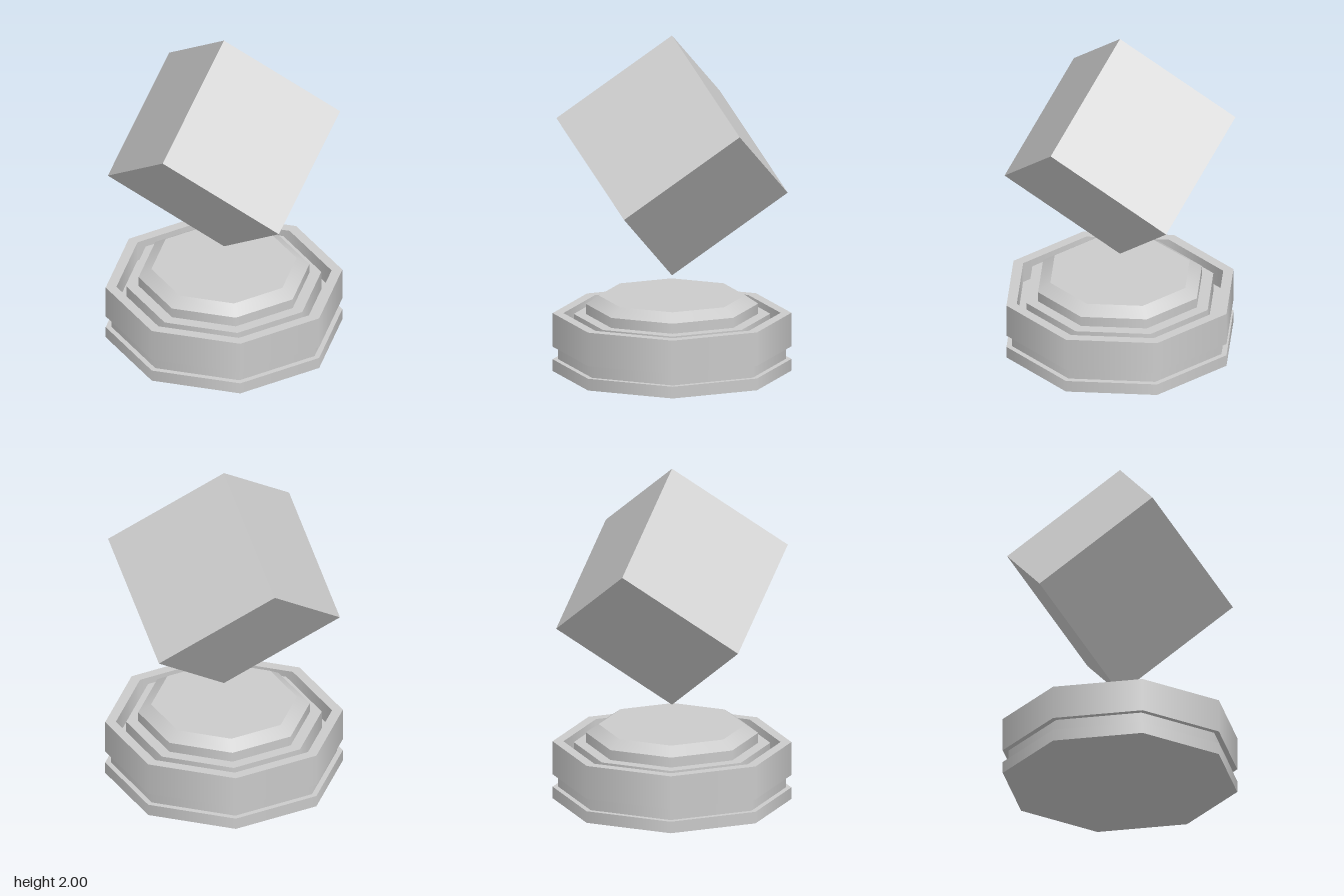
import * as THREE from 'three';
import { mergeGeometries } from 'three/addons/utils/BufferGeometryUtils.js';

const material = new THREE.MeshStandardMaterial({ color: 0xcccccc });
const SIDES = 8;
const START = THREE.MathUtils.degToRad(24.7);

// Eight-sided turned part: rounded shading around, sharp steps along the profile
function turned(name, profile) {
  const bands = [];
  for (let i = 0; i < profile.length - 1; i++) {
    const pair = [profile[i], profile[i + 1]].map(([r, y]) => new THREE.Vector2(r, y));
    bands.push(new THREE.LatheGeometry(pair, SIDES, START));
  }
  const mesh = new THREE.Mesh(mergeGeometries(bands), material);
  mesh.name = name;
  return mesh;
}

export function createModel() {
  const model = new THREE.Group();
  model.name = 'floatingCubeOnPedestal';

  // Pedestal: foot, recessed neck, hollow collar and chamfered platform
  const pedestal = new THREE.Group();
  pedestal.name = 'pedestal';
  pedestal.add(
    turned('foot', [[0, 0], [0.693, 0], [0.693, 0.07], [0.66, 0.07]]),
    turned('neck', [[0.66, 0.07], [0.66, 0.145]]),
    turned('collar', [[0.66, 0.145], [0.693, 0.145], [0.693, 0.345], [0.63, 0.345], [0.63, 0.22], [0.57, 0.22]]),
    turned('platform', [[0.57, 0.22], [0.57, 0.34], [0.5, 0.34], [0.5, 0.4], [0.425, 0.45], [0, 0.45]])
  );
  model.add(pedestal);

  // Cube balanced on a corner, its long diagonal upright
  const edge = 0.826;
  const cube = new THREE.Mesh(new THREE.BoxGeometry(edge, edge, edge), material);
  cube.name = 'cube';
  const drop = -1 / Math.sqrt(3);
  const reach = Math.sqrt(2 / 3);
  const axes = [60, -60, 180].map((deg) => {
    const a = THREE.MathUtils.degToRad(deg);
    return new THREE.Vector3(Math.sin(a) * reach, drop, Math.cos(a) * reach);
  });
  cube.quaternion.setFromRotationMatrix(new THREE.Matrix4().makeBasis(...axes));
  cube.position.y = 2 - (edge * Math.sqrt(3)) / 2;
  model.add(cube);

  return model;
}
